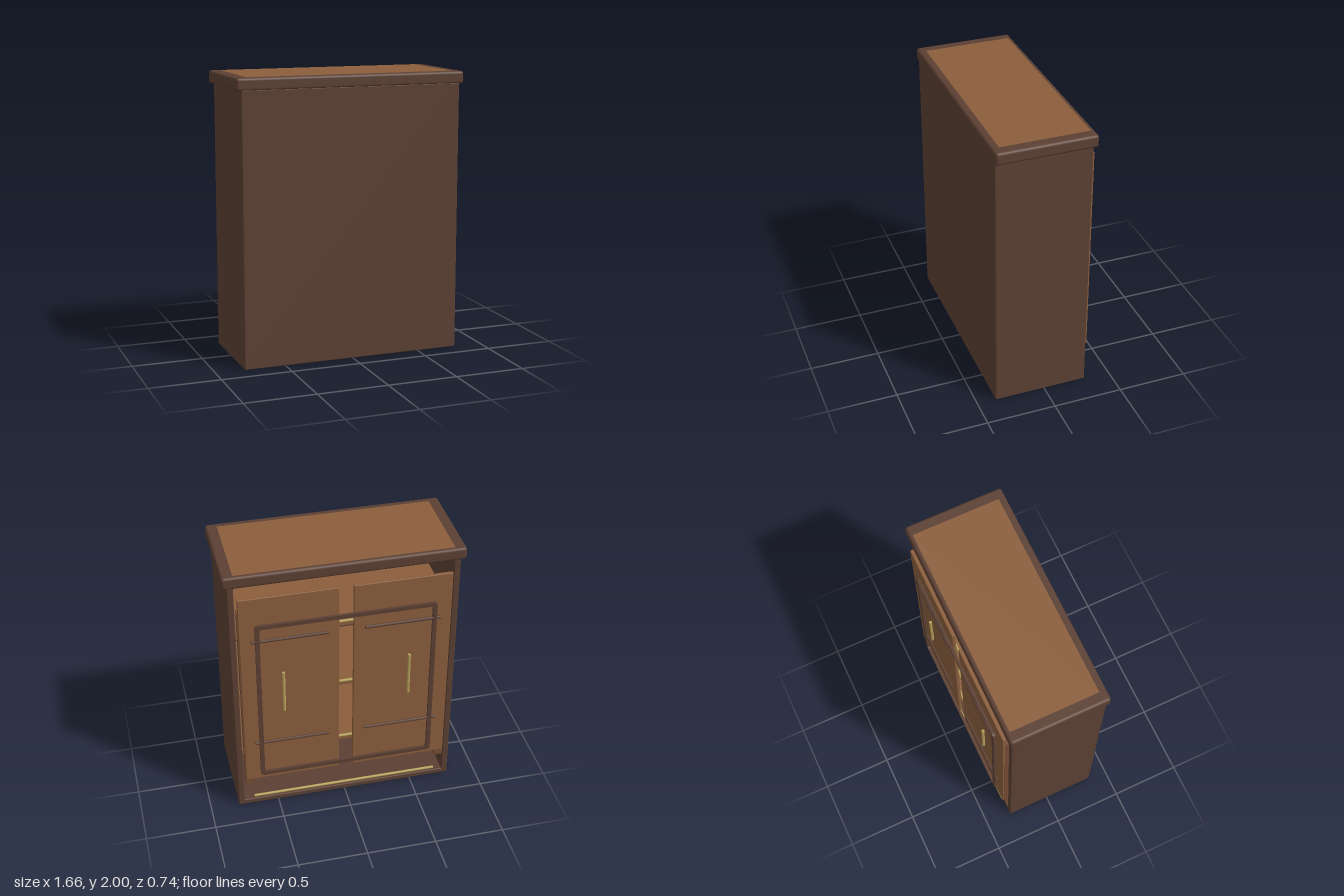
import * as THREE from 'three';
import { RoundedBoxGeometry } from 'three/addons/geometries/RoundedBoxGeometry.js';

function material(name, color) {
  const m = new THREE.MeshStandardMaterial({ color });
  m.name = name;
  return m;
}

export function createModel() {
  const group = new THREE.Group();
  const darkWood = material('dark wood', 0x5c4033);
  const midWood = material('mid wood', 0x744e35);
  const lightWood = material('light wood', 0x8b5e3c);
  const brass = material('brass', 0xb5a15a);

  function add(name, geometry, mat, x = 0, y = 0, z = 0) {
    const mesh = new THREE.Mesh(geometry, mat);
    mesh.name = name;
    mesh.position.set(x, y, z);
    group.add(mesh);
    return mesh;
  }

  // Box given by its extents; a radius rounds its edges
  function block(name, mat, [x0, x1], [y0, y1], [z0, z1], radius = 0) {
    const size = [x1 - x0, y1 - y0, z1 - z0];
    const geometry = radius
      ? new RoundedBoxGeometry(...size, 3, radius)
      : new THREE.BoxGeometry(...size);
    return add(name, geometry, mat, (x0 + x1) / 2, (y0 + y1) / 2, (z0 + z1) / 2);
  }

  // Round bar along x or y
  function bar(name, mat, axis, length, radius, x, y, z) {
    const mesh = add(name, new THREE.CylinderGeometry(radius, radius, length, 12), mat, x, y, z);
    if (axis === 'x') mesh.rotation.z = Math.PI / 2;
    return mesh;
  }

  // Carcass, open on the -z side
  block('floor', darkWood, [-0.795, 0.795], [0, 0.04], [-0.31, 0.365], 0.008);
  block('closedWall', darkWood, [-0.795, 0.795], [0.005, 1.92], [0.32, 0.365], 0.008);
  for (const s of [-1, 1]) {
    const wall = s > 0 ? [0.75, 0.795] : [-0.795, -0.75];
    block('sideWall', darkWood, wall, [0.005, 1.92], [-0.31, 0.365], 0.008);
  }

  // Overhanging lid with a pale panel set in its top
  block('lid', darkWood, [-0.828, 0.828], [1.91, 1.999], [-0.333, 0.37], 0.02);
  block('lidPanel', lightWood, [-0.75, 0.75], [1.994, 2], [-0.305, 0.32]);

  // Shelves and their brass rails
  for (const y of [0.52, 1.02, 1.53]) {
    block('shelf', lightWood, [-0.75, 0.75], [y - 0.04, y], [-0.305, 0.32]);
    bar('shelfRail', brass, 'x', 1.36, 0.01, 0, y, -0.309);
  }
  bar('bottomRail', brass, 'x', 1.36, 0.01, 0, 0.08, -0.32);

  for (const s of [-1, 1]) {
    // Hinge stile, door and handle on each side
    const stile = s > 0 ? [0.68, 0.74] : [-0.74, -0.68];
    block('hingeStile', midWood, stile, [0.21, 1.72], [-0.33, -0.28]);
    const door = s > 0 ? [0.05, 0.735] : [-0.735, -0.05];
    block('door', lightWood, door, [0.265, 1.825], [-0.345, -0.32], 0.005);
    bar('handle', brass, 'y', 0.33, 0.011, s * 0.445, 1.04, -0.36);
    // Cross bars over the door
    for (const y of [0.605, 1.485]) {
      bar('crossBar', darkWood, 'x', 0.53, 0.011, s * 0.393, y, -0.354);
    }
  }

  // Rounded rectangular frame across both doors
  const roundedRect = (target, w, h, r) => {
    target.moveTo(-w + r, -h);
    target.lineTo(w - r, -h).quadraticCurveTo(w, -h, w, -h + r);
    target.lineTo(w, h - r).quadraticCurveTo(w, h, w - r, h);
    target.lineTo(-w + r, h).quadraticCurveTo(-w, h, -w, h - r);
    target.lineTo(-w, -h + r).quadraticCurveTo(-w, -h, -w + r, -h);
    return target;
  };
  const outline = roundedRect(new THREE.Shape(), 0.63, 0.655, 0.03);
  outline.holes.push(roundedRect(new THREE.Path(), 0.6, 0.625, 0.015));
  const frame = new THREE.ExtrudeGeometry(outline, { depth: 0.02, bevelEnabled: false, curveSegments: 5 });
  add('doorFrame', frame, darkWood, 0, 0.96, -0.364);

  return group;
}
